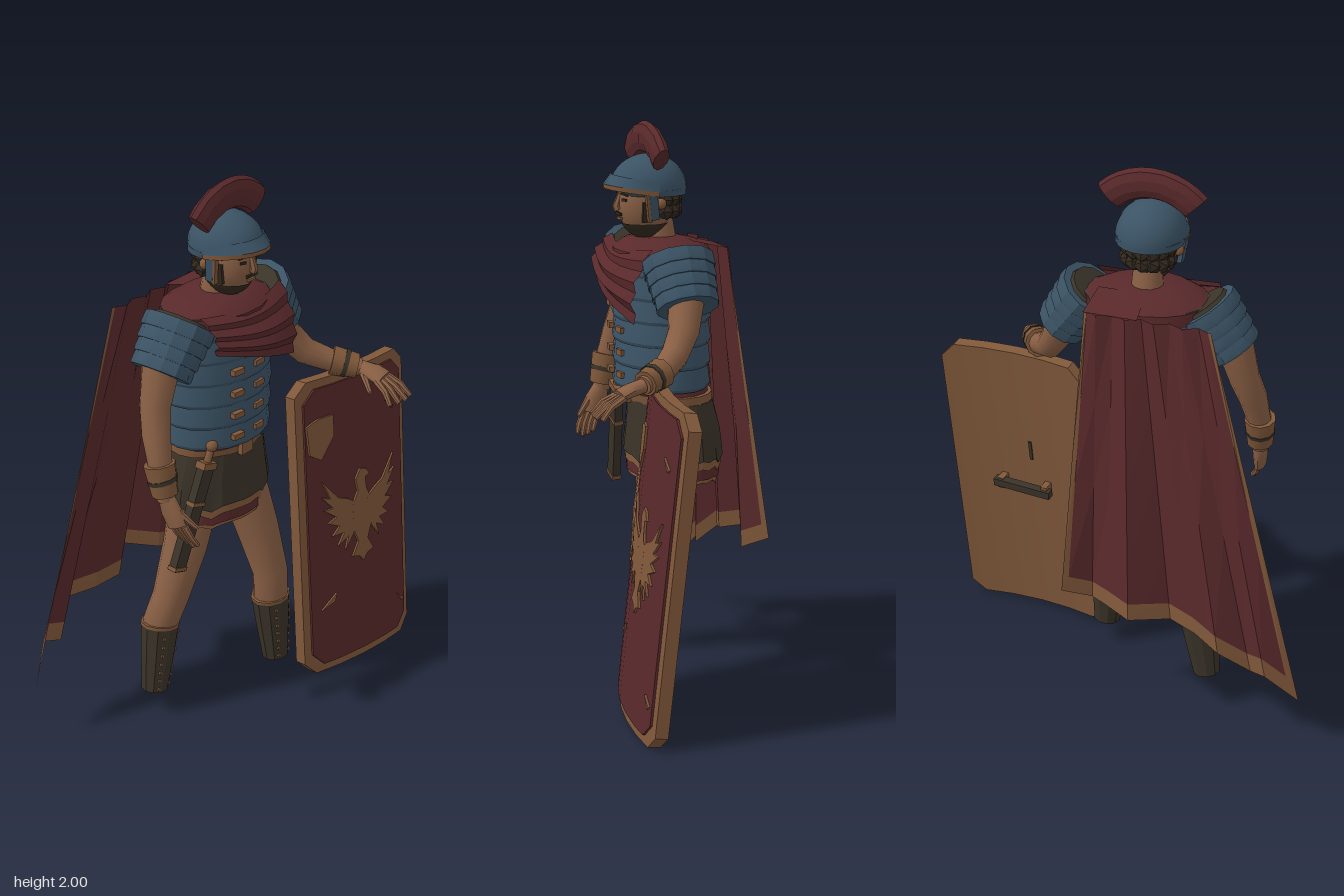
import * as THREE from 'three';
import { toCreasedNormals } from 'three/addons/utils/BufferGeometryUtils.js';

const V = (x, y, z) => new THREE.Vector3(x, y, z);
const mat = (name, color) => new THREE.MeshStandardMaterial({ name, color, side: THREE.DoubleSide });
const CX = -0.09; // centre line of the body

// Surface through rows of points; closed rows become capped solids.
function loft(rows, closed = true, crease = 0.5) {
  const n = rows[0].length, pos = [], idx = [];
  rows.forEach(r => r.forEach(p => pos.push(p.x, p.y, p.z)));
  for (let i = 0; i < rows.length - 1; i++)
    for (let j = 0; j < (closed ? n : n - 1); j++) {
      const k = (j + 1) % n, a = i * n + j, b = i * n + k, c = a + n, d = b + n;
      idx.push(a, c, b, b, c, d);
    }
  if (closed) [0, rows.length - 1].forEach((i, end) => {
    const m = V(0, 0, 0), c = pos.length / 3;
    rows[i].forEach(p => m.addScaledVector(p, 1 / n));
    pos.push(m.x, m.y, m.z);
    for (let j = 0; j < n; j++) {
      const a = i * n + j, b = i * n + (j + 1) % n;
      end ? idx.push(a, c, b) : idx.push(a, b, c);
    }
  });
  const g = new THREE.BufferGeometry();
  g.setAttribute('position', new THREE.Float32BufferAttribute(pos, 3));
  g.setIndex(idx);
  return toCreasedNormals(g, crease);
}
// Horizontal elliptical ring, with optional pleats and ragged height.
const ring = (x, y, z, rx, rz, n = 18, pleat = 0, rag = 0) => Array.from({ length: n }, (_, i) => {
  const a = i / n * Math.PI * 2, s = 1 + (i % 2 ? pleat : -pleat);
  return V(x + Math.cos(a) * rx * s, y + (i % 2 ? rag : -rag * Math.sin(i * 2.3)), z + Math.sin(a) * rz * s);
});
// Limb through points [x, y, z, radius, depthRadius], listed from the low end up.
function limb(pts, n = 12, crease = 0.8) {
  const c = pts.map(p => V(p[0], p[1], p[2]));
  return loft(pts.map((p, i) => {
    const t = c[Math.min(i + 1, c.length - 1)].clone().sub(c[Math.max(i - 1, 0)]).normalize();
    const q = new THREE.Quaternion().setFromUnitVectors(V(0, 1, 0), t);
    return ring(0, 0, 0, p[3], p[4] ?? p[3], n).map(v => v.applyQuaternion(q).add(c[i]));
  }), true, crease);
}

export function createModel() {
  const model = new THREE.Group();
  const blue = mat('blueSteel', 0x3b5365), red = mat('redCloth', 0x59292b), skin = mat('skin', 0x8a6045),
    dark = mat('darkLeather', 0x3a3328), tan = mat('tanTrim', 0x80583a), hair = mat('hair', 0x33291f);
  const add = (name, geo, m, parent = model) => {
    const o = new THREE.Mesh(geo, m); o.name = name; parent.add(o); return o;
  };
  const box = (name, m, s, p, r = [0, 0, 0], parent = model) => {
    const o = add(name, new THREE.BoxGeometry(...s), m, parent);
    o.position.set(...p); o.rotation.set(...r); return o;
  };
  const ball = (name, m, s, p, args = []) => {
    const o = add(name, new THREE.SphereGeometry(1, 18, 12, ...args), m);
    o.scale.set(...s); o.position.set(...p); return o;
  };

  // Head, neck, beard and hair
  add('neck', limb([[CX, 1.54, -0.015, 0.06], [CX, 1.68, 0.0, 0.05]]), skin);
  ball('head', skin, [0.085, 0.13, 0.1], [CX, 1.725, 0.045]);
  ball('beard', hair, [0.089, 0.132, 0.105], [CX, 1.725, 0.045], [0, Math.PI * 2, Math.PI * 0.69, Math.PI * 0.31]);
  add('nose', limb([[CX, 1.7, 0.146, 0.016], [CX, 1.71, 0.152, 0.014], [CX, 1.755, 0.138, 0.008]], 6), skin);
  box('mouth', skin, [0.036, 0.009, 0.008], [CX, 1.668, 0.14]);
  box('moustache', hair, [0.052, 0.009, 0.008], [CX, 1.684, 0.143]);
  for (const s of [-1, 1]) {
    box('eye', hair, [0.022, 0.009, 0.006], [CX + s * 0.036, 1.735, 0.135], [0, s * 0.4, 0]);
    box('brow', hair, [0.034, 0.006, 0.008], [CX + s * 0.037, 1.754, 0.134], [0, s * 0.4, -s * 0.15]);
    box('sideburn', hair, [0.012, 0.07, 0.035], [CX + s * 0.08, 1.695, 0.065], [0, 0, -s * 0.1]);
  }
  for (let i = 0; i < 14; i++) {
    const a = -0.2 - (i % 7) / 6 * (Math.PI - 0.4), lock = new THREE.IcosahedronGeometry(0.034, 0);
    add('curl', lock, hair).position.set(CX + Math.cos(a) * 0.072, i < 7 ? 1.735 : 1.695, 0.01 + Math.sin(a) * 0.068);
  }

  // Helmet with brim, cheek guards and crest
  ball('helmetDome', blue, [0.122, 0.122, 0.138], [CX, 1.768, 0.035], [0, Math.PI * 2, 0, Math.PI * 0.5]);
  add('helmetNape', loft([ring(CX, 1.75, 0.015, 0.118, 0.115), ring(CX, 1.772, 0.025, 0.121, 0.126)]), blue);
  const brim = (r, y, z) => Array.from({ length: 9 }, (_, i) => {
    const a = Math.PI * i / 8;
    return V(CX + Math.cos(a) * r, y + Math.sin(a) * 0.022, 0.035 + Math.sin(a) * z);
  });
  add('visor', loft([brim(0.118, 1.8, 0.132), brim(0.125, 1.765, 0.162)], false), blue);
  add('visorEdge', loft([brim(0.126, 1.768, 0.163), brim(0.125, 1.752, 0.161)], false), tan);
  for (const s of [-1, 1]) {
    box('cheekGuard', blue, [0.016, 0.09, 0.03], [CX + s * 0.104, 1.715, 0.05], [0.15, 0, -s * 0.15]);
    box('cheekTrim', tan, [0.018, 0.1, 0.01], [CX + s * 0.103, 1.712, 0.07], [0.15, 0, -s * 0.15]);
    add('ear', new THREE.IcosahedronGeometry(0.02, 1), tan).position.set(CX + s * 0.098, 1.725, 0.022);
  }
  const crest = [];
  for (let i = 0; i <= 10; i++) {
    const a = (i / 10 - 0.5) * 1.6, w = i % 2 ? 1 : 0.85;
    crest.push(ring(0, 0, 0, 0.056, 0.032 * w, 10).map(p => {
      const r = 0.211 + p.x;
      return V(CX + Math.sin(a) * r, 1.735 + Math.cos(a) * r, 0.04 + p.z);
    }));
  }
  add('crest', loft(crest, true, 0.3), red);

  // Banded cuirass
  for (let i = 0; i < 6; i++) {
    const y = 1.075 + i * 0.08, r = 0.207 + Math.sin(i / 5 * 2.4) * 0.014;
    add('cuirassBand', loft([ring(CX, y, -0.012, r + 0.004, 0.162), ring(CX, y + 0.012, -0.012, r + 0.01, 0.167),
      ring(CX, y + 0.088, -0.012, r + 0.002, 0.157)]), blue);
    if (i < 4) for (const x of [-0.17, -0.06])
      box('buckle', tan, [0.048, 0.02, 0.02], [x, y + 0.045, 0.147], [0, (x - CX) * 1.5, 0]);
  }
  add('tunicWaist', loft([ring(-0.07, 1.03, -0.03, 0.185, 0.14), ring(CX, 1.09, -0.02, 0.19, 0.15)]), red);
  add('belt', loft([ring(-0.07, 1.025, -0.035, 0.196, 0.147), ring(-0.07, 1.058, -0.03, 0.196, 0.15)]), tan);
  box('beltBuckle', tan, [0.06, 0.05, 0.02], [CX, 1.042, 0.118]);

  // Skirt layers
  const SX = -0.063, SZ = -0.045;
  add('skirt', loft([ring(SX, 0.825, SZ, 0.23, 0.168, 32, 0.02, 0.012), ring(SX, 0.93, SZ, 0.216, 0.16, 32, 0.012),
    ring(SX, 1.03, SZ + 0.01, 0.19, 0.145, 32)], true, 0.2), dark);
  add('skirtFringe', loft([ring(SX, 0.795, SZ, 0.225, 0.163, 32, 0.012, 0.012), ring(SX, 0.86, SZ, 0.218, 0.158, 32)]), tan);
  add('tunicHem', loft([ring(SX, 0.762, SZ, 0.218, 0.158, 32, 0.012, 0.006), ring(SX, 0.83, SZ, 0.212, 0.153, 32)]), red);
  add('tunicHemTrim', loft([ring(SX, 0.748, SZ, 0.214, 0.154, 32, 0.012, 0.008), ring(SX, 0.775, SZ, 0.212, 0.152, 32)]), tan);

  // Shoulder plates with dark padding, mirrored
  for (const s of [-1, 1]) {
    const at = t => [CX + s * (0.31 - 0.105 * t), 1.395 + 0.145 * t, 0];
    for (let i = 0; i < 4; i++) {
      const t = i / 4, w = 0.09 + 0.022 * t;
      add('shoulderPlate', limb([[...at(t), w + 0.004, w + 0.02], [...at(t + 0.05), w + 0.007, w + 0.023],
        [...at(t + 0.28), w + 0.005, w + 0.021]], 12, 0.4), blue);
    }
    add('shoulderPadding', limb([[...at(0.95), 0.09, 0.107], [...at(1.1), 0.08, 0.095]]), dark);
  }

  // Arms, bracers and hands
  add('rightArm', limb([[-0.478, 0.98, 0.085, 0.032], [-0.478, 1.1, 0.06, 0.042], [-0.462, 1.2, 0.03, 0.05],
    [-0.435, 1.29, 0.005, 0.054], [-0.395, 1.43, 0, 0.066]]), skin);
  add('leftArm', limb([[0.425, 1.185, 0.235, 0.031], [0.37, 1.205, 0.155, 0.04], [0.3, 1.25, 0.08, 0.048],
    [0.255, 1.32, 0.03, 0.054], [0.2, 1.44, 0, 0.066]]), skin);
  add('rightBracer', limb([[-0.478, 1.0, 0.08, 0.046], [-0.48, 1.11, 0.058, 0.056]], 10), tan);
  add('leftBracer', limb([[0.418, 1.19, 0.225, 0.044], [0.365, 1.21, 0.15, 0.054]], 10), tan);
  add('rightStrap', limb([[-0.478, 1.045, 0.072, 0.052], [-0.479, 1.06, 0.068, 0.054]], 10), dark);
  add('leftStrap', limb([[0.398, 1.198, 0.197, 0.05], [0.389, 1.202, 0.184, 0.052]], 10), dark);
  add('rightPalm', limb([[-0.47, 0.89, 0.125, 0.022, 0.04], [-0.475, 0.94, 0.105, 0.026, 0.043],
    [-0.478, 0.99, 0.085, 0.028, 0.03]]), skin);
  add('leftPalm', limb([[0.44, 1.16, 0.325, 0.045, 0.02], [0.435, 1.175, 0.285, 0.043, 0.024],
    [0.425, 1.185, 0.235, 0.03, 0.025]]), skin);
  for (let i = 0; i < 4; i++) {
    const k = i - 1.5, z = 0.125 + k * 0.02, x = 0.44 + k * 0.021, len = 1 - Math.abs(k - 0.2) * 0.12;
    add('rightFinger', limb([[-0.44, 0.9 - 0.09 * len, z + 0.035, 0.008], [-0.458, 0.855, z + 0.022, 0.011],
      [-0.47, 0.9, z, 0.013]], 7), skin);
    add('leftFinger', limb([[x + k * 0.018, 1.095, 0.325 + 0.09 * len, 0.009], [x + k * 0.01, 1.135, 0.365, 0.012],
      [x, 1.16, 0.315, 0.014]], 7), skin);
  }
  add('rightThumb', limb([[-0.44, 0.89, 0.185, 0.009], [-0.475, 0.95, 0.13, 0.014]], 7), skin);
  add('leftThumb', limb([[0.365, 1.13, 0.32, 0.009], [0.41, 1.175, 0.255, 0.015]], 7), skin);

  // Legs with greaves
  const legs = { left: [[0.1, 0.12, 0.11], [0.082, 0.36, 0.1], [0.08, 0.46, 0.1], [0.05, 0.65, 0.06], [0.02, 0.84, 0.01]],
    right: [[-0.35, 0.12, -0.09], [-0.315, 0.36, -0.09], [-0.288, 0.46, -0.065], [-0.228, 0.65, -0.045], [-0.175, 0.84, -0.04]] };
  const legR = [0.04, 0.064, 0.065, 0.079, 0.09];
  for (const side in legs) {
    const p = legs[side], a = V(...p[0]), b = V(...p[1]);
    const at = (t, rx, rz) => [...a.clone().lerp(b, t).toArray(), rx, rz];
    add(side + 'Leg', limb(p.map((q, i) => [...q, legR[i]])), skin);
    add(side + 'Greave', limb([at(-0.08, 0.05, 0.047), at(0.5, 0.064, 0.06), at(1, 0.074, 0.068)], 10, 0.4), dark);
    add(side + 'GreaveTrim', limb([at(0.97, 0.075, 0.069), at(1.02, 0.076, 0.07)], 10), tan);
    for (let i = 0; i < 7; i++) for (const s of [-1, 1]) {
      const t = i / 7, c = a.clone().lerp(b, t), r = 0.052 + 0.02 * t;
      box('greaveStud', tan, [0.009, 0.009, 0.009], [c.x + s * r * 0.55, c.y, c.z + r * 0.77]);
    }
  }

  // Sheathed sword on the right hip
  const sword = new THREE.Group(); sword.name = 'sword'; model.add(sword);
  sword.position.set(-0.275, 1.02, 0.09); sword.rotation.set(0.08, 0, -0.34);
  box('scabbard', dark, [0.06, 0.38, 0.03], [0, -0.19, 0], [0, 0, 0], sword);
  for (const y of [-0.13, -0.37]) box('scabbardBand', tan, [0.066, 0.014, 0.036], [0, y, 0], [0, 0, 0], sword);
  box('swordGuard', tan, [0.072, 0.025, 0.04], [0, 0.01, 0], [0, 0, 0], sword);
  add('swordGrip', new THREE.CylinderGeometry(0.014, 0.014, 0.06, 8), tan, sword).position.y = 0.045;
  add('swordPommel', new THREE.IcosahedronGeometry(0.022, 1), tan, sword).position.y = 0.08;

  // Scarf: shoulder yoke, slanting front drape and rear strap
  add('scarfYoke', loft([ring(CX, 1.515, -0.012, 0.222, 0.17), ring(CX, 1.56, -0.012, 0.219, 0.165),
    ring(CX, 1.588, -0.008, 0.165, 0.125), ring(CX, 1.602, 0.002, 0.085, 0.075)]), red);
  const drape = [];
  for (let i = 0; i <= 7; i++) drape.push(Array.from({ length: 10 }, (_, j) => {
    const u = j / 9, v = i / 7, mid = Math.sin(u * Math.PI);
    return V(-0.305 + 0.43 * u, (1.585 - 0.02 * mid) * (1 - v) + (1.47 - 0.14 * u) * v,
      0.1 + 0.035 * mid + 0.065 * Math.sin(v * 2.2) + (i % 2 ? 0.01 : -0.006));
  }));
  add('scarfDrape', loft(drape, false, 0.3), red);
  add('scarfStrap', loft([[V(0.06, 1.597, -0.08), V(-0.11, 1.597, -0.08)], [V(0.07, 1.565, -0.215), V(-0.12, 1.565, -0.215)]], false), red);

  // Cape: folds grow towards a ragged, trimmed hem
  const hem = [[0.11, 0.52, -0.35], [0.02, 0.47, -0.28], [-0.05, 0.47, -0.32], [-0.16, 0.5, -0.42], [-0.28, 0.46, -0.31],
    [-0.38, 0.44, -0.34], [-0.48, 0.42, -0.4], [-0.58, 0.32, -0.33], [-0.64, 0.33, -0.36], [-0.75, 0.21, -0.3]].map(p => V(...p));
  const cape = (s, t) => {
    const i = Math.min(8, Math.floor(s)), low = hem[i].clone().lerp(hem[i + 1], s - i);
    return V(0.07 - 0.45 * s / 9, 1.565, -0.212 + 0.012 * Math.cos(s * Math.PI)).lerp(low, t);
  };
  const sheet = (name, m, ss, ts) => add(name, loft(ts.map(t => ss.map(s => cape(s, t))), false, 0.2), m);
  const inner = [0.2, 1, 2, 3, 4, 5, 6, 7, 8, 8.75];
  sheet('cape', red, inner, [0, 0.3, 0.6, 0.945]);
  sheet('capeHem', tan, [0, ...inner, 9], [0.945, 1]);
  sheet('capeSideTrim', tan, [0, 0.2], [0, 0.5, 0.945]);
  sheet('capeSideTrim', tan, [8.75, 9], [0, 0.5, 0.945]);

  // Curved shield
  const shield = new THREE.Group(); shield.name = 'shield'; model.add(shield);
  shield.position.set(0.44, 0.586, 0.214); shield.rotation.set(-0.1, -0.12, -0.043);
  const bend = x => -0.4 * x * x;
  const slab = (w, h, zb, zf) => loft([-w, 0.05 - w, -0.12, 0, 0.12, w - 0.05, w].map(x => {
    const k = h - Math.max(0, Math.abs(x) - w + 0.05), z = bend(x);
    return [V(x, -k, z + zf), V(x, k, z + zf), V(x, k, z + zb), V(x, -k, z + zb)];
  }), true, 0.2);
  add('shieldBoard', slab(0.283, 0.573, -0.02, 0.025), tan, shield);
  add('shieldFace', slab(0.252, 0.542, 0.024, 0.033), red, shield);
  box('shieldGrip', dark, [0.23, 0.03, 0.03], [0, 0, -0.06], [0, 0, 0.05], shield);
  box('shieldSlot', dark, [0.012, 0.08, 0.008], [-0.03, 0.15, -0.022], [0, 0, 0], shield);
  for (const x of [-0.09, 0.09]) box('gripMount', tan, [0.025, 0.045, 0.05], [x, 0, -0.04], [0, 0, 0], shield);

  // Bird ornament and worn patches as thin plates on the shield
  const plate = (name, pts, flip = 1) => {
    const g = new THREE.ExtrudeGeometry(new THREE.Shape(pts.map(p => new THREE.Vector2(p[0] * flip, p[1]))),
      { depth: 0.008, bevelEnabled: false });
    const a = g.attributes.position;
    for (let i = 0; i < a.count; i++) a.setZ(i, a.getZ(i) + 0.033 + bend(a.getX(i)));
    g.computeVertexNormals();
    add(name, g, tan, shield);
  };
  for (const s of [-1, 1]) plate('birdWing', [[0.03, 0.06], [0.07, 0.085], [0.12, 0.105], [0.19, 0.185], [0.155, 0.11],
    [0.195, 0.125], [0.145, 0.07], [0.185, 0.07], [0.13, 0.03], [0.17, 0.015], [0.115, -0.01], [0.15, -0.04],
    [0.095, -0.04], [0.125, -0.085], [0.075, -0.06], [0.09, -0.11], [0.05, -0.06], [0.035, -0.02]], s);
  plate('birdBody', [[-0.02, 0.1], [-0.03, 0.15], [-0.005, 0.185], [0.025, 0.175], [0.045, 0.15], [0.02, 0.145], [0.025, 0.1],
    [0.05, 0.05], [0.045, -0.05], [0.025, -0.1], [0.055, -0.15], [0.02, -0.16], [0, -0.185], [-0.02, -0.16],
    [-0.055, -0.15], [-0.025, -0.1], [-0.045, -0.05], [-0.05, 0.05]]);
  plate('wornPatch', [[-0.25, 0.41], [-0.24, 0.3], [-0.19, 0.27], [-0.13, 0.35], [-0.13, 0.43], [-0.2, 0.43]]);
  plate('wornPatch', [[-0.21, -0.32], [-0.14, -0.27], [-0.15, -0.3]]);
  plate('wornPatch', [[0.15, 0.4], [0.2, 0.37], [0.19, 0.36]]);
  plate('wornPatch', [[0.2, -0.4], [0.24, -0.43], [0.23, -0.44]]);
  return model;
}
